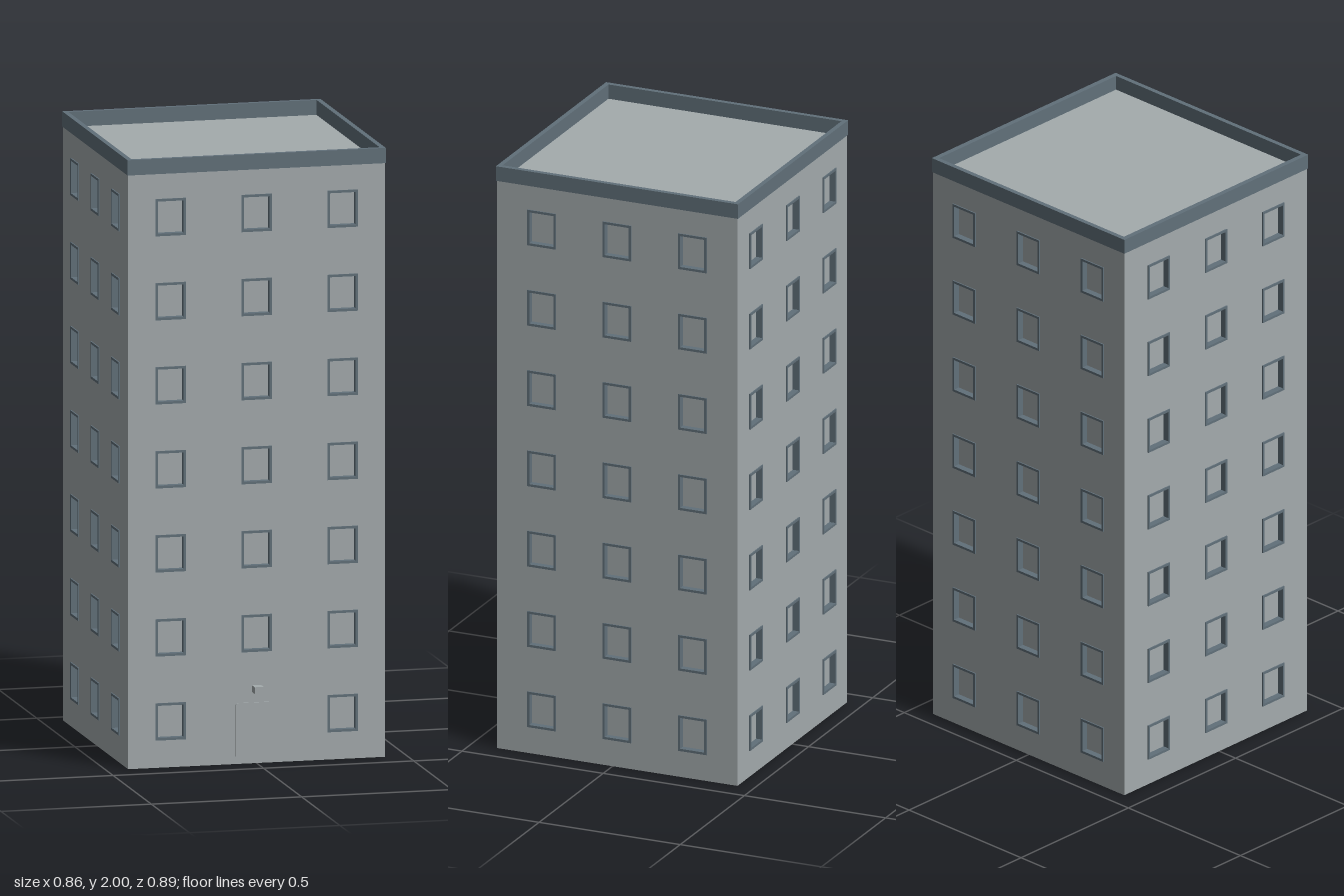
import * as THREE from 'three';

const wallMat = new THREE.MeshStandardMaterial({ name: 'concrete grey', color: 0xa4abad });
const trimMat = new THREE.MeshStandardMaterial({ name: 'slate trim', color: 0x61707a });

const HX = 0.427, HZ = 0.426, CZ = -0.0165; // half sizes and centre of the tower
const WALL_TOP = 1.95, THICK = 0.02;
const FLOORS = 7, FIRST = 0.151, FLOOR_H = 0.276;
const WIN_W = 0.101, WIN_H = 0.122, EDGE = 0.008;

// Rectangle outline centred on (x, y)
function rect(Type, x, y, w, h) {
  const s = new Type();
  s.moveTo(x - w / 2, y - h / 2);
  s.lineTo(x + w / 2, y - h / 2);
  s.lineTo(x + w / 2, y + h / 2);
  s.lineTo(x - w / 2, y + h / 2);
  s.closePath();
  return s;
}

function extrude(shape, depth) {
  return new THREE.ExtrudeGeometry(shape, { depth, bevelEnabled: false, curveSegments: 4 });
}

function add(parent, name, geometry, material, x = 0, y = 0, z = 0) {
  const mesh = new THREE.Mesh(geometry, material);
  mesh.name = name;
  mesh.position.set(x, y, z);
  parent.add(mesh);
  return mesh;
}

// Window frame lines the whole opening and stands slightly proud of the wall
const frameShape = rect(THREE.Shape, 0, 0, WIN_W, WIN_H);
frameShape.holes.push(rect(THREE.Path, 0, 0, WIN_W - EDGE * 2, WIN_H - EDGE * 2));
const frameGeo = extrude(frameShape, THICK + 0.004);
const paneGeo = new THREE.BoxGeometry(WIN_W, WIN_H, 0.004);

// One facade: its outer face lies at local z = 0
function createFacade(name, width, spacing, hasDoor) {
  const facade = new THREE.Group();
  facade.name = name;
  const shape = rect(THREE.Shape, 0, WALL_TOP / 2, width, WALL_TOP);
  for (let floor = 0; floor < FLOORS; floor++) {
    for (let col = -1; col <= 1; col++) {
      if (hasDoor && floor === 0 && col === 0) continue;
      const x = col * spacing, y = FIRST + floor * FLOOR_H;
      shape.holes.push(rect(THREE.Path, x, y, WIN_W - 0.002, WIN_H - 0.002));
      add(facade, 'windowFrame', frameGeo, trimMat, x, y, -THICK);
      add(facade, 'windowPane', paneGeo, wallMat, x, y, -THICK);
    }
  }
  add(facade, 'wall', extrude(shape, THICK), wallMat, 0, 0, -THICK);
  return facade;
}

export function createModel() {
  const model = new THREE.Group();
  model.name = 'towerBlock';
  const tower = new THREE.Group();
  tower.name = 'tower';
  tower.position.z = CZ;
  model.add(tower);

  // Four facades; side walls fit between the front and back walls
  const sides = [
    ['frontFacade', 0, HX * 2, 0.286, 0, HZ],
    ['leftFacade', 1, (HZ - THICK) * 2, 0.267, HX, 0],
    ['backFacade', 2, HX * 2, 0.286, 0, -HZ],
    ['rightFacade', 3, (HZ - THICK) * 2, 0.267, -HX, 0],
  ];
  for (const [name, turn, width, spacing, x, z] of sides) {
    const facade = createFacade(name, width, spacing, turn === 0);
    facade.rotation.y = turn * Math.PI / 2;
    facade.position.set(x, 0, z);
    tower.add(facade);
  }

  // Roof deck and ground slab
  const slab = new THREE.BoxGeometry((HX - 0.01) * 2, 0.02, (HZ - 0.01) * 2);
  add(tower, 'roofDeck', slab, wallMat, 0, WALL_TOP - 0.009, 0);
  add(tower, 'groundSlab', slab, wallMat, 0, 0.01, 0);

  // Parapet ring around the roof
  const ring = rect(THREE.Shape, 0, 0, 0.859, 0.857);
  ring.holes.push(rect(THREE.Path, 0, 0, 0.825, 0.825));
  const parapet = add(tower, 'parapet', extrude(ring, 2 - WALL_TOP), trimMat, 0, WALL_TOP, 0);
  parapet.rotation.x = -Math.PI / 2;

  // Entrance door with softened corners
  const w = 0.07, b = 0.02, t = 0.2, r = 0.01;
  const door = new THREE.Shape();
  door.moveTo(-w + r, b);
  door.lineTo(w - r, b);
  door.quadraticCurveTo(w, b, w, b + r);
  door.lineTo(w, t - r);
  door.quadraticCurveTo(w, t, w - r, t);
  door.lineTo(-w + r, t);
  door.quadraticCurveTo(-w, t, -w, t - r);
  door.lineTo(-w, b + r);
  door.quadraticCurveTo(-w, b, -w + r, b);
  add(tower, 'door', extrude(door, 0.006), wallMat, 0, 0, HZ - 0.002);

  // Small lamp above the door
  const lampFront = 0.445 - CZ;
  add(tower, 'doorLamp', new THREE.BoxGeometry(0.03, 0.022, lampFront - HZ + 0.005), wallMat,
    0, 0.245, (lampFront + HZ - 0.005) / 2);

  return model;
}
